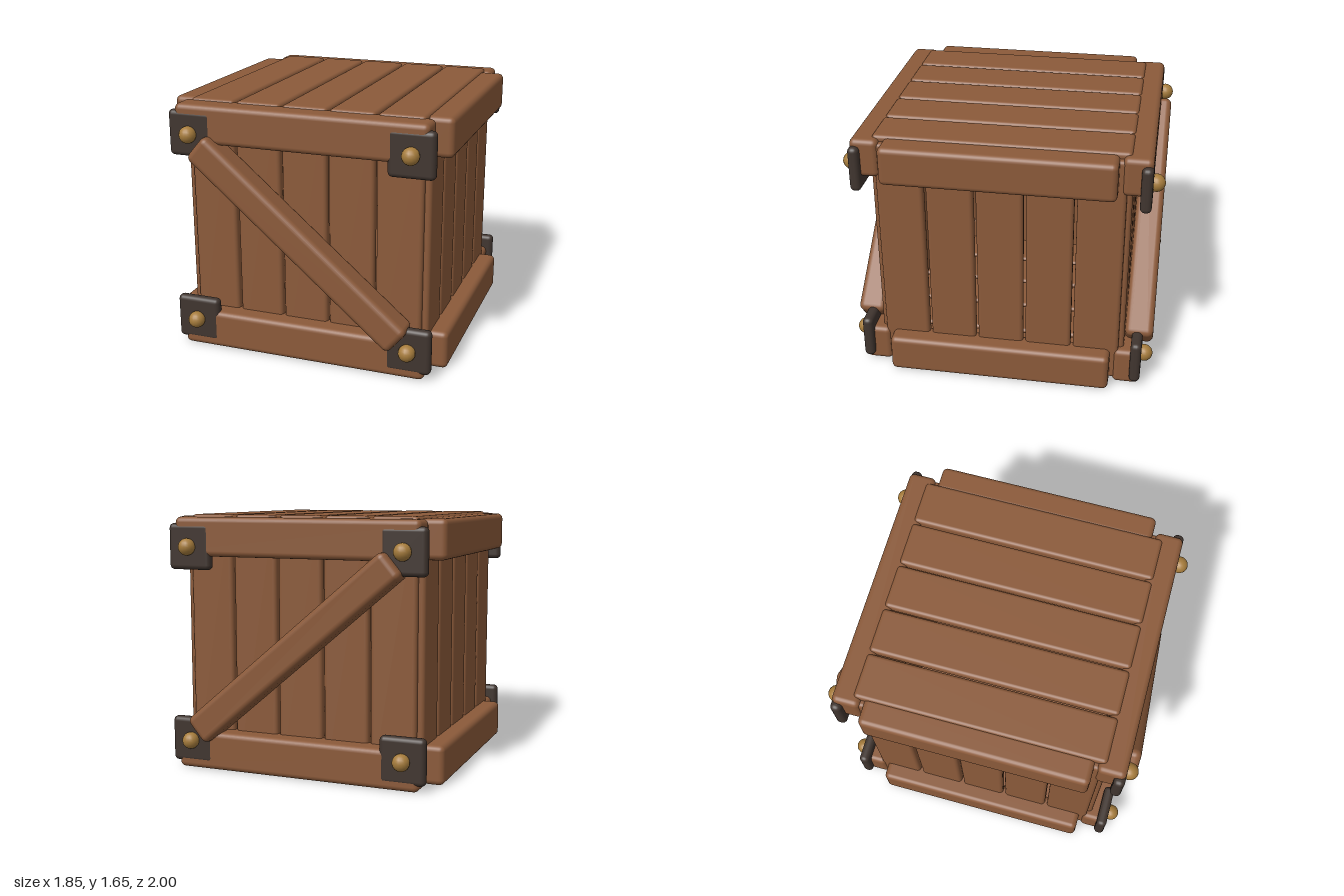
import * as THREE from 'three';
import { RoundedBoxGeometry } from 'three/addons/geometries/RoundedBoxGeometry.js';

const material = (name, color) => {
  const m = new THREE.MeshStandardMaterial({ color });
  m.name = name;
  return m;
};

export function createModel() {
  const wood = material('brown wood', 0x8b5a3a);
  const iron = material('dark iron', 0x40352f);
  const brass = material('brass', 0xa67c3c);

  const crate = new THREE.Group();
  crate.name = 'crate';
  const MID = 0.82; // height of the crate's centre

  const add = (name, geometry, mat, x, y, z, parent = crate) => {
    const mesh = new THREE.Mesh(geometry, mat);
    mesh.name = name;
    mesh.position.set(x, y, z);
    parent.add(mesh);
    return mesh;
  };

  // Panels of five planks: one group per crate side, planks spread along one axis
  const T = 0.07, W = 0.297, PITCH = 0.311;
  const panel = (name, size, axis, pitch, x, y, z) => {
    const group = new THREE.Group();
    group.name = name;
    group.position.set(x, y, z);
    const geometry = new RoundedBoxGeometry(...size, 3, 0.025);
    for (let i = -2; i <= 2; i++) {
      add('plank', geometry, wood, 0, 0, 0, group).position[axis] = i * pitch;
    }
    crate.add(group);
  };
  panel('lid', [W, T, 1.595], 'x', PITCH, 0, 1.653 - T / 2, 0);
  panel('floor', [W, T, 1.595], 'x', PITCH, 0, 0.015 + T / 2, 0);

  const frontRail = new RoundedBoxGeometry(1.65, 0.25, 0.18, 3, 0.035);
  const sideRail = new RoundedBoxGeometry(0.18, 0.25, 1.45, 3, 0.035);
  const brace = new RoundedBoxGeometry(1.745, 0.2, 0.185, 3, 0.04);
  const plate = new RoundedBoxGeometry(0.295, 0.295, 0.07, 3, 0.03);
  const bolt = new THREE.SphereGeometry(0.055, 16, 12);

  for (const s of [1, -1]) {
    // Walls
    panel(s > 0 ? 'frontWall' : 'backWall', [W, 1.59, T], 'x', PITCH, 0, MID, s * (0.81 - T / 2));
    panel(s > 0 ? 'leftWall' : 'rightWall', [T, 1.59, W], 'z', 0.314, s * (0.812 - T / 2), MID, 0);

    // Diagonal braces lean the same way on front and back
    add(s > 0 ? 'frontBrace' : 'backBrace', brace, wood, 0, MID, s * 0.9025)
      .rotation.z = -0.703;

    for (const v of [1, -1]) {
      // Horizontal rails at top and bottom
      const railY = MID + v * 0.694;
      add(s > 0 ? 'frontRail' : 'backRail', frontRail, wood, 0, railY, s * 0.836);
      add(s > 0 ? 'leftRail' : 'rightRail', sideRail, wood, s * 0.834, railY, 0);

      // Iron corner plates with brass bolts
      for (const h of [1, -1]) {
        add('cornerPlate', plate, iron, h * 0.72, MID + v * 0.63, s * 0.893);
        add('bolt', bolt, brass, h * 0.723, MID + v * 0.63, s * 0.945);
      }
    }
  }
  return crate;
}
